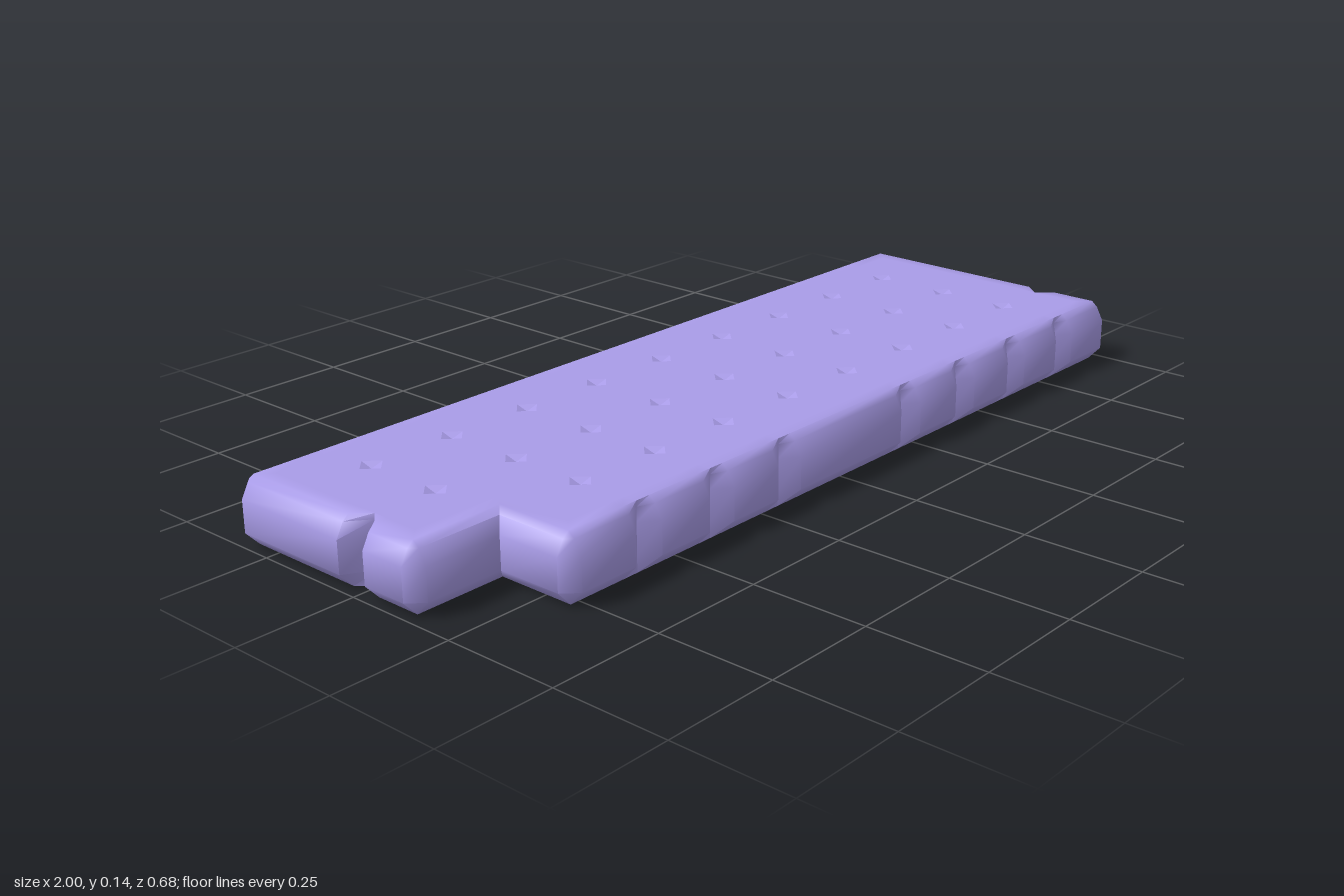
import * as THREE from 'three';
import { toCreasedNormals } from 'three/addons/utils/BufferGeometryUtils.js';

const CUT = 0.03; // corner cut and notch depth
const TOP = 0.142;

// Edges of the slab in plan (x, z), with joints [position, depth] along each
const joints = (list) => list.map((p) => [p, CUT]);
const edges = [
  { from: [-1, -0.34], to: [-1, 0.167], notches: [[0, 0.06]] },
  { from: [-1, 0.167], to: [-0.8, 0.167], notches: [], inner: true },
  { from: [-0.8, 0.167], to: [-0.8, 0.34], notches: [] },
  { from: [-0.8, 0.34], to: [1, 0.34], notches: joints([-0.6, -0.4, -0.2, 0.2, 0.4, 0.6, 0.8]) },
  { from: [1, 0.34], to: [1, -0.34], notches: [[0.17, 0.06], [0, CUT]] },
  { from: [1, -0.34], to: [-1, -0.34], notches: joints([0.8, 0.6, 0.4, 0.2, 0, -0.2, -0.6, -0.8]) },
];

// Outline of the slab, pulled inward by t; notch points never lie outside their depth
function ring(t) {
  const points = [];
  edges.forEach((edge, i) => {
    const a = new THREE.Vector2(...edge.from), b = new THREE.Vector2(...edge.to);
    const d = b.clone().sub(a).normalize();
    const n = new THREE.Vector2(-d.y, d.x);
    const put = (p, along, inset) =>
      points.push(p.clone().addScaledVector(d, along).addScaledVector(n, -inset));
    const corner = Math.max(CUT, t);
    const startsInner = edges[(i + edges.length - 1) % edges.length].inner;
    if (!startsInner) put(a, corner, t);
    for (const [pos, depth] of edge.notches) {
      const p = d.x !== 0 ? new THREE.Vector2(pos, a.y) : new THREE.Vector2(a.x, pos);
      put(p, -0.035, t);
      put(p, 0, Math.max(depth, t));
      put(p, 0.035, t);
    }
    // The concave corner of the step is one point
    if (edge.inner) put(b, t, t);
    else put(b, -corner, t);
  });
  return points;
}

// Rounded stone edges: rings joined from the bottom to the top
function edgeGeometry() {
  const levels = [[0, 0.06], [0, 0.03], [0.032, 0], [0.1, 0], [0.13, 0.016], [TOP, 0.03], [TOP, 0.06]];
  const rings = levels.map(([y, t]) => ring(t).map((p) => [p.x, y, p.y]));
  const count = rings[0].length, index = [];
  for (let r = 0; r < rings.length - 1; r++) {
    for (let i = 0; i < count; i++) {
      const j = (i + 1) % count;
      const a = r * count + i, b = r * count + j;
      index.push(a, b, b + count, a, b + count, a + count);
    }
  }
  const geometry = new THREE.BufferGeometry();
  geometry.setAttribute('position', new THREE.Float32BufferAttribute(rings.flat(2), 3));
  geometry.setIndex(index);
  return toCreasedNormals(geometry, 0.96);
}

export function createModel() {
  const group = new THREE.Group();
  group.name = 'stonePlatform';
  const material = new THREE.MeshStandardMaterial({ color: 0xa99ce8 });
  const dentMaterial = new THREE.MeshStandardMaterial({ color: 0xa99ce8, side: THREE.DoubleSide });
  const add = (name, geometry, mat = material) => {
    const mesh = new THREE.Mesh(geometry, mat);
    mesh.name = name;
    group.add(mesh);
    return mesh;
  };

  add('stoneEdge', edgeGeometry());

  // Shallow dents where the corners of the stones meet
  const dents = [];
  for (const z of [-0.18, 0, 0.17]) {
    for (let i = -4; i <= 4; i++) {
      if (!(i === -4 && z > 0.1)) dents.push([i * 0.2, z]);
    }
  }
  const r = 0.028, depth = 0.008;

  // Top face with an opening for each dent
  const topShape = new THREE.Shape(ring(0.06).map((p) => new THREE.Vector2(p.x, -p.y)));
  for (const [x, z] of dents) {
    topShape.holes.push(new THREE.Path([[r, 0], [0, r], [-r, 0], [0, -r]]
      .map(([u, v]) => new THREE.Vector2(x + u, -z + v))));
  }
  add('topFace', new THREE.ShapeGeometry(topShape).rotateX(-Math.PI / 2)).position.y = TOP;

  const dentGeometry = toCreasedNormals(
    new THREE.ConeGeometry(r, depth, 4, 1, true).rotateX(Math.PI), 0.1);
  for (const [x, z] of dents) {
    add('jointDent', dentGeometry, dentMaterial).position.set(x, TOP - depth / 2, z);
  }

  // Flat underside
  add('underside', new THREE.ShapeGeometry(new THREE.Shape(ring(0.06))).rotateX(Math.PI / 2));

  return group;
}
